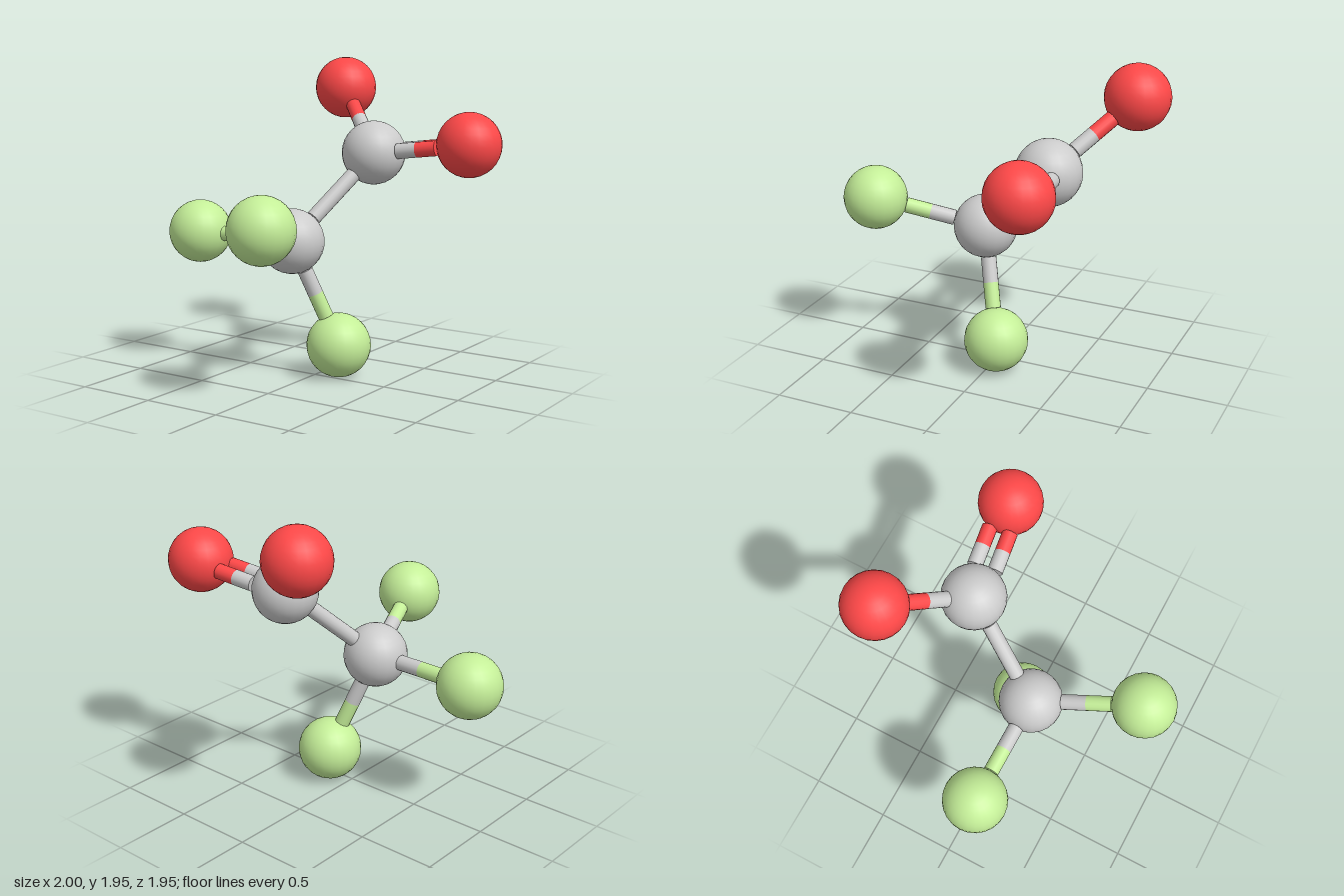
import * as THREE from 'three';

const ATOM_R = 0.2, BOND_R = 0.048;

export function createModel() {
  const model = new THREE.Group();
  model.name = 'molecule';

  const grey = new THREE.MeshStandardMaterial({ color: 0xcccccc });
  const red = new THREE.MeshStandardMaterial({ color: 0xff4848 });
  const green = new THREE.MeshStandardMaterial({ color: 0xc4ee98 });

  // Atom centres and colours
  const atoms = {
    lowerCarbon: { at: [-0.085, 0.857, 0.125], mat: grey },
    upperCarbon: { at: [0.175, 1.37, -0.4], mat: grey },
    singleOxygen: { at: [-0.27, 1.75, -0.775], mat: red },
    doubleOxygen: { at: [0.798, 1.443, -0.483], mat: red },
    sideFluorine: { at: [-0.8, 0.857, 0.122], mat: green },
    frontFluorine: { at: [0.155, 1.03, 0.77], mat: green },
    bottomFluorine: { at: [0.143, 0.203, -0.05], mat: green },
  };

  const ball = new THREE.SphereGeometry(ATOM_R, 24, 16);
  for (const [name, atom] of Object.entries(atoms)) {
    atom.pos = new THREE.Vector3(...atom.at);
    const mesh = new THREE.Mesh(ball, atom.mat);
    mesh.name = name;
    mesh.position.copy(atom.pos);
    model.add(mesh);
  }

  // Straight rod between two points
  function rod(name, from, to, mat) {
    const dir = to.clone().sub(from);
    const mesh = new THREE.Mesh(new THREE.CylinderGeometry(BOND_R, BOND_R, dir.length(), 16), mat);
    mesh.name = name;
    mesh.position.copy(from).lerp(to, 0.5);
    mesh.quaternion.setFromUnitVectors(new THREE.Vector3(0, 1, 0), dir.normalize());
    model.add(mesh);
  }

  // Bond from surface to surface, each half in the colour of its own atom
  function bond(nameA, nameB, sideOffset = 0) {
    const a = atoms[nameA], b = atoms[nameB];
    const dir = b.pos.clone().sub(a.pos).normalize();
    const shift = dir.clone().cross(new THREE.Vector3(0, 1, 0)).normalize().multiplyScalar(sideOffset);
    const inset = Math.sqrt(ATOM_R ** 2 - sideOffset ** 2) - 0.002;
    const start = a.pos.clone().addScaledVector(dir, inset).add(shift);
    const end = b.pos.clone().addScaledVector(dir, -inset).add(shift);
    const mid = start.clone().lerp(end, 0.5);
    rod(nameA + 'BondHalf', start, mid, a.mat);
    rod(nameB + 'BondHalf', mid, end, b.mat);
  }

  bond('lowerCarbon', 'upperCarbon');
  for (const f of ['sideFluorine', 'frontFluorine', 'bottomFluorine']) bond('lowerCarbon', f);
  bond('upperCarbon', 'singleOxygen');
  // Double bond: two parallel rods side by side
  for (const s of [-1, 1]) bond('upperCarbon', 'doubleOxygen', s * 0.064);

  return model;
}
